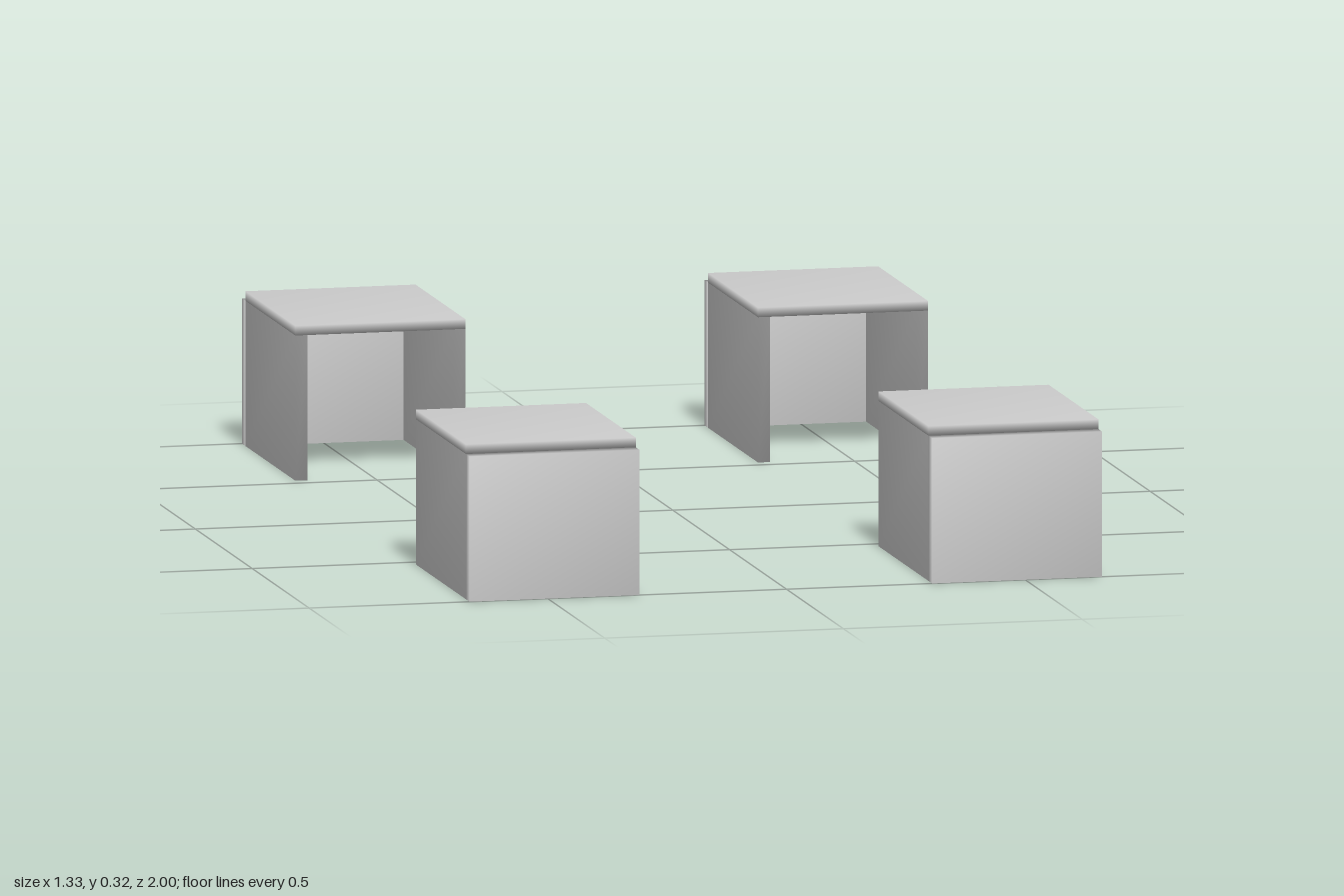
import * as THREE from 'three';
import { mergeVertices } from 'three/addons/utils/BufferGeometryUtils.js';

const material = new THREE.MeshStandardMaterial({ color: 0xcccccc });
const WIDTH = 0.356, HEIGHT = 0.32, INNER = 0.53, OUTER = 1;
const LID = 0.02, WALL = 0.025, END = 0.032;

// Thin slab between two corners, with normals shared across its edges
function panel(name, min, max) {
  const size = max.map((v, i) => v - min[i]);
  const box = new THREE.BoxGeometry(...size);
  box.deleteAttribute('uv');
  box.deleteAttribute('normal');
  const geometry = mergeVertices(box);
  geometry.computeVertexNormals();
  const mesh = new THREE.Mesh(geometry, material);
  mesh.name = name;
  mesh.position.set(...max.map((v, i) => (v + min[i]) / 2));
  return mesh;
}

// Corner cover: lid, two side walls and an outer end wall, open below and inward
function cornerCover(name) {
  const cover = new THREE.Group();
  cover.name = name;
  const w = WIDTH / 2, wallTop = HEIGHT - LID, seam = OUTER - END;
  cover.add(
    panel('lid', [-w, wallTop, INNER], [w, HEIGHT, seam]),
    panel('endWall', [-w, 0, seam], [w, wallTop, OUTER]),
    panel('sideWallRight', [-w, 0, INNER], [-w + WALL, wallTop, seam]),
    panel('sideWallLeft', [w - WALL, 0, INNER], [w, wallTop, seam])
  );
  return cover;
}

export function createModel() {
  const model = new THREE.Group();
  model.name = 'cornerCovers';
  // One cover at each corner; the back pair is turned to face outward
  for (const [end, turn] of [['front', 0], ['back', Math.PI]]) {
    for (const [side, x] of [['Right', -0.486], ['Left', 0.483]]) {
      const cover = cornerCover(`${end}${side}Cover`);
      cover.position.x = x;
      cover.rotation.y = turn;
      model.add(cover);
    }
  }
  return model;
}
